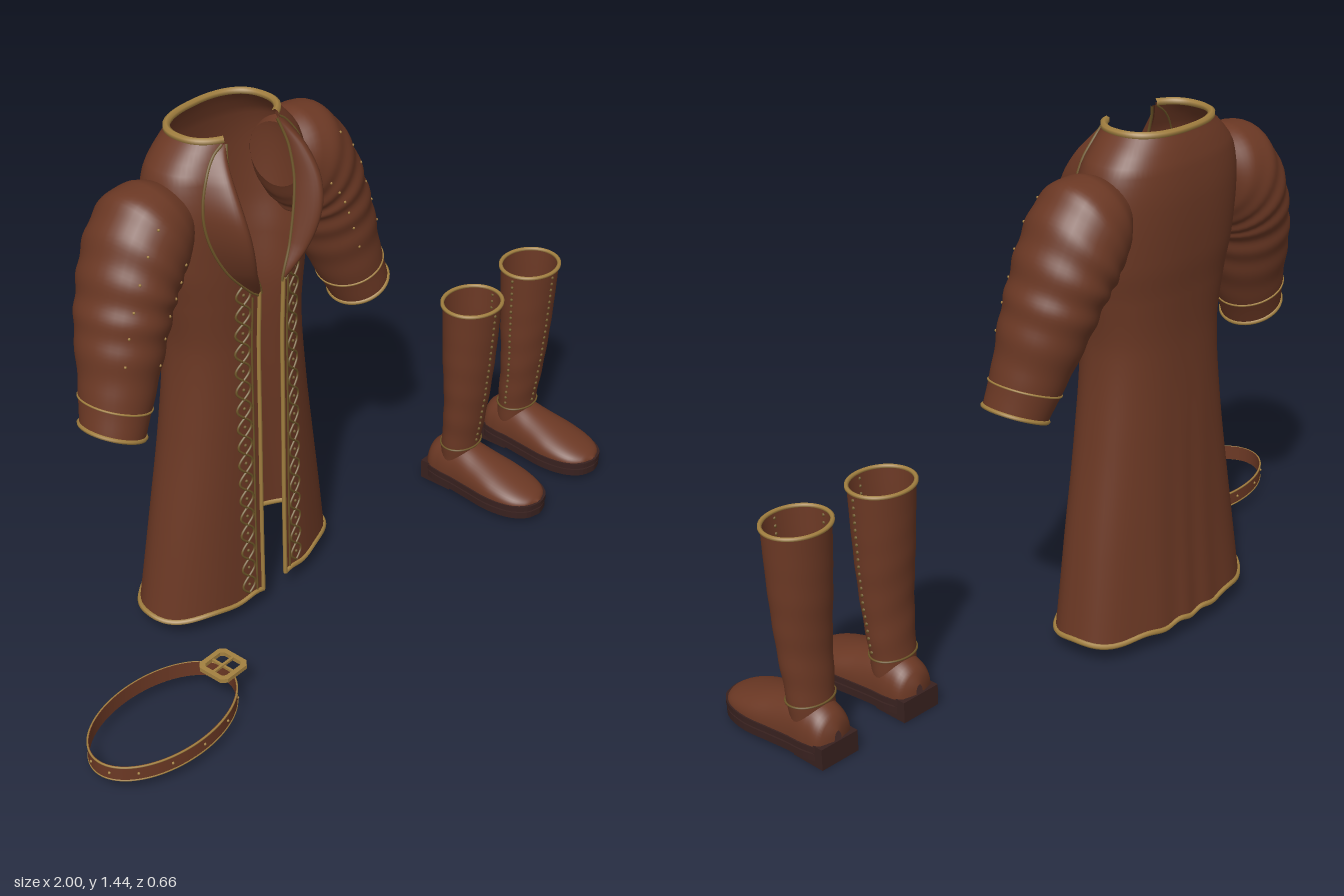
import * as THREE from 'three';
import { ParametricGeometry } from 'three/addons/geometries/ParametricGeometry.js';

const mat = (name, color, side = THREE.FrontSide) => {
  const m = new THREE.MeshStandardMaterial({ color, side });
  m.name = name;
  return m;
};
const V = (x, y, z) => new THREE.Vector3(x, y, z);

// Smooth interpolation of table rows by their first column
function at(rows, k) {
  const n = rows.length - 1;
  let i = 0;
  while (i < n - 1 && k > rows[i + 1][0]) i++;
  const a = rows[i], b = rows[i + 1], h = b[0] - a[0], t = (k - a[0]) / h;
  const p = rows[Math.max(i - 1, 0)], q = rows[Math.min(i + 2, n)];
  return a.map((_, c) => {
    const m0 = (b[c] - p[c]) / (b[0] - p[0]) * h, m1 = (q[c] - a[c]) / (q[0] - a[0]) * h;
    const t2 = t * t, t3 = t2 * t;
    return (2 * t3 - 3 * t2 + 1) * a[c] + (t3 - 2 * t2 + t) * m0 + (3 * t2 - 2 * t3) * b[c] + (t3 - t2) * m1;
  });
}

// y, half width, front z, back z, half opening
const COAT = [
  [0.06, 0.325, -0.018, -0.32, 0.046], [0.3, 0.288, -0.02, -0.303, 0.046], [0.6, 0.238, -0.02, -0.288, 0.046],
  [0.85, 0.212, -0.02, -0.282, 0.046], [1.0, 0.228, -0.015, -0.292, 0.046], [1.1, 0.245, -0.015, -0.304, 0.08],
  [1.25, 0.252, -0.022, -0.31, 0.112], [1.34, 0.236, -0.04, -0.302, 0.116], [1.39, 0.198, -0.055, -0.288, 0.108],
  [1.43, 0.155, -0.065, -0.272, 0.095],
];
// step, outer x, outer y, inner x, inner y, centre z, half depth
const SLEEVE = [
  [0, 0.21, 1.33, 0.19, 1.16, -0.17, 0.09], [0.08, 0.28, 1.353, 0.205, 1.12, -0.172, 0.118],
  [0.2, 0.36, 1.333, 0.225, 1.09, -0.172, 0.133], [0.36, 0.43, 1.24, 0.245, 1.06, -0.17, 0.136],
  [0.52, 0.475, 1.13, 0.265, 1.03, -0.163, 0.13], [0.7, 0.51, 1.02, 0.3, 0.945, -0.152, 0.118],
  [0.85, 0.53, 0.91, 0.345, 0.845, -0.137, 0.1], [1, 0.555, 0.8, 0.4, 0.735, -0.12, 0.085],
];
// y, half width, half depth, centre z
const SHAFT = [
  [0.09, 0.062, 0.05, 0.035], [0.16, 0.067, 0.052, 0.04], [0.3, 0.077, 0.059, 0.052],
  [0.45, 0.086, 0.071, 0.055], [0.63, 0.092, 0.081, 0.057],
];
// z, half width, top y
const FOOT = [
  [-0.055, 0.012, 0.085], [-0.045, 0.05, 0.12], [0, 0.066, 0.148], [0.06, 0.07, 0.152], [0.12, 0.077, 0.136],
  [0.2, 0.085, 0.113], [0.27, 0.074, 0.09], [0.31, 0.045, 0.072], [0.325, 0.008, 0.06],
];
const N = 2.4;

function coatEdge(u, y, off = 0) {
  const [, w, zf, zb, g] = at(COAT, y), rz = (zf - zb) / 2, zc = (zf + zb) / 2;
  const a0 = Math.atan2(g, rz * Math.pow(1 - Math.pow(g / w, N), 1 / N));
  const a = a0 + u * (Math.PI * 2 - 2 * a0), s = Math.sin(a), c = Math.cos(a);
  const folds = 1 + 0.014 * Math.sin(11 * a) * Math.sin(u * Math.PI) * Math.max(0, 1 - y / 0.8);
  const r = Math.pow(Math.pow(Math.abs(s / w), N) + Math.pow(Math.abs(c / rz), N), -1 / N) * folds + off;
  return V(r * s, y, zc + r * c);
}
function coatFront(x, y, off = 0) {
  const [, w, zf, zb] = at(COAT, y), rz = (zf - zb) / 2;
  return V(x, y, (zf + zb) / 2 + rz * Math.pow(Math.max(0, 1 - Math.pow(Math.abs(x) / w, N)), 1 / N) + off);
}
function sleevePoint(u, v, off = 0) {
  const [, ox, oy, ix, iy, zc, rz] = at(SLEEVE, v), a = u * Math.PI * 2;
  const k = 1 + off + 0.022 * Math.sin(v * 44 + Math.sin(a)) * Math.sin(v * Math.PI);
  const c = Math.cos(a) * k / 2;
  return V((ox + ix) / 2 + (ox - ix) * c, (oy + iy) / 2 + (oy - iy) * c, zc + rz * k * Math.sin(a));
}
function shaftPoint(u, y, off = 0) {
  const [, rx, rz, zc] = at(SHAFT, y), a = u * Math.PI * 2;
  const k = 1 + off + 0.02 * Math.sin(y * 62 + 1.5 * Math.sin(a)) * Math.max(0, 1 - y / 0.6);
  return V(rx * k * Math.sin(a), y, zc + rz * k * Math.cos(a));
}

export function createModel() {
  const leather = mat('brown leather', 0x6b3824, THREE.DoubleSide);
  const gold = mat('gold trim', 0xa38040);
  const thread = mat('olive thread', 0x6e5628);
  const sole = mat('dark sole', 0x38211f);
  const model = new THREE.Group();

  const add = (parent, name, geo, m) => {
    const mesh = new THREE.Mesh(geo, m);
    mesh.name = name;
    parent.add(mesh);
    return mesh;
  };
  const group = (parent, name) => {
    const g = new THREE.Group();
    g.name = name;
    parent.add(g);
    return g;
  };
  const surface = (parent, name, f, nu, nv, m) =>
    add(parent, name, new ParametricGeometry((u, v, t) => t.copy(f(u, v)), nu, nv), m);
  const tube = (parent, name, f, n, r, m, closed = false) => {
    const pts = Array.from({ length: n + (closed ? 0 : 1) }, (_, i) => f(i / n));
    return add(parent, name, new THREE.TubeGeometry(new THREE.CatmullRomCurve3(pts, closed), n * 2, r, 6, closed), m);
  };
  const dots = (parent, name, f, n, r, m) => {
    for (let i = 0; i < n; i++) add(parent, name, new THREE.SphereGeometry(r, 6, 4), m).position.copy(f((i + 0.5) / n));
  };

  // Coat body with collar and hem trim
  const coat = group(model, 'coat');
  coat.position.x = -0.155;
  surface(coat, 'coatBody', (u, v) => coatEdge(u, 0.06 + v * 1.37), 80, 60, leather);
  tube(coat, 'collarTrim', t => coatEdge(t, 1.43), 40, 0.01, gold);
  tube(coat, 'hemTrim', t => coatEdge(t, 0.06).add(V(0, 0.004 * Math.sin(t * 60), 0)), 70, 0.008, gold);

  // One half of the coat: sleeve, lapel and front trim
  const half = group(coat, 'leftHalf');
  surface(half, 'sleeve', (u, v) => sleevePoint(u, v), 36, 60, leather);
  tube(half, 'cuffTrim', t => sleevePoint(t, 1), 28, 0.006, gold, true);
  tube(half, 'cuffLine', t => sleevePoint(t, 0.91, 0.005), 28, 0.003, gold, true);
  for (const u of [0.14, 0.3])
    dots(half, 'sleeveStud', t => sleevePoint(u, 0.15 + t * 0.65), 6, 0.004, gold);

  const lapelPoint = (u, v) => {
    const y = 1.0 + v * 0.42, s = Math.sin(Math.PI * v), g = at(COAT, y)[4];
    const x = g - 0.006 + 0.078 * Math.pow(Math.max(s, 0), 0.7) * u + 0.012 * u;
    return coatFront(x, y, 0.003 + Math.sin(Math.PI * Math.pow(u, 0.85)) * 0.07 * Math.max(s, 0));
  };
  surface(half, 'lapel', lapelPoint, 14, 30, leather);
  tube(half, 'lapelOuterStitch', t => lapelPoint(1, t), 24, 0.004, thread);
  tube(half, 'lapelInnerStitch', t => lapelPoint(0, t), 24, 0.004, thread);
  tube(half, 'openingTrim', t => coatFront(0.046, 0.06 + t * 0.95, 0.002), 24, 0.006, gold);
  tube(half, 'frontLine', t => coatFront(0.068, 0.07 + t * 0.93, 0.001), 24, 0.003, thread);

  // Interlaced scroll embroidery down the front
  for (const s of [1, -1])
    tube(half, 'embroidery', t => coatFront(0.097 + s * 0.022 * Math.sin(t * Math.PI * 17), 0.075 + t * 0.97, 0.001), 136, 0.0035, thread);
  dots(half, 'embroideryKnot', t => coatFront(0.097, 0.075 + t * 0.97, 0.001), 17, 0.005, thread);
  const other = half.clone();
  other.name = 'rightHalf';
  other.scale.x = -1;
  coat.add(other);

  // Sole outline, widened by e
  const outline = e => {
    const pts = FOOT.map(([z, w]) => new THREE.Vector2(w + e, z + (z > 0.3 ? e : 0)));
    const back = pts.map(p => new THREE.Vector2(-p.x, p.y)).reverse();
    return new THREE.Shape(new THREE.SplineCurve([...pts, ...back, pts[0]]).getPoints(60));
  };
  const slab = (parent, name, e, top, depth) => {
    const geo = new THREE.ExtrudeGeometry(outline(e), { depth, bevelEnabled: false });
    add(parent, name, geo.rotateX(Math.PI / 2), sole).position.y = top;
  };

  // Boots, mirrored so the side stitching faces inward
  const boot = group(model, 'rightBoot');
  boot.position.x = 0.62;
  surface(boot, 'shaft', (u, v) => shaftPoint(u, 0.09 + v * 0.54), 32, 50, leather);
  surface(boot, 'foot', (u, v) => {
    const [z, w, top] = at(FOOT, -0.055 + v * 0.38), a = u * Math.PI;
    return V(w * Math.cos(a), 0.05 + (top - 0.05) * Math.pow(Math.max(Math.sin(a), 0), 0.8), z);
  }, 24, 40, leather);
  tube(boot, 'shaftRim', t => shaftPoint(t, 0.628), 32, 0.006, gold, true);
  tube(boot, 'ankleSeam', t => shaftPoint(t, 0.15, 0.03), 28, 0.003, thread, true);
  for (const u of [0, 0.24])
    dots(boot, 'shaftStitch', t => shaftPoint(u, 0.16 + t * 0.46, 0.01), 22, 0.005, thread);
  slab(boot, 'welt', 0.004, 0.057, 0.016);
  slab(boot, 'soleGroove', -0.002, 0.041, 0.006);
  slab(boot, 'sole', 0.003, 0.036, 0.02);
  add(boot, 'heelBlock', new THREE.BoxGeometry(0.12, 0.06, 0.06), sole).position.set(0, 0.03, -0.03);
  add(boot, 'heelPlate', new THREE.BoxGeometry(0.12, 0.02, 0.05), sole).position.set(0, 0.01, 0.02);
  const boot2 = boot.clone();
  boot2.name = 'leftBoot';
  boot2.scale.x = -1;
  boot2.position.x = 0.9;
  model.add(boot2);

  // Belt loop with gold edging
  const belt = group(model, 'belt');
  belt.position.set(-0.765, 0, 0.143);
  const loop = (e = 0) => new THREE.Path().absellipse(0, 0, 0.232 - e, 0.141 - e, 0, Math.PI * 2);
  const band = new THREE.Shape(loop().getPoints(64));
  band.holes.push(new THREE.Path(loop(0.004).getPoints(64)));
  add(belt, 'strap', new THREE.ExtrudeGeometry(band, { depth: 0.044, bevelEnabled: false }).rotateX(-Math.PI / 2), leather).position.y = 0.042;
  for (const y of [0.043, 0.084])
    tube(belt, 'strapEdge', t => V(0.231 * Math.cos(t * Math.PI * 2), y, 0.14 * Math.sin(t * Math.PI * 2)), 48, 0.003, gold, true);
  dots(belt, 'strapStud', t => V(0.233 * Math.cos(t * Math.PI * 2), 0.064, 0.142 * Math.sin(t * Math.PI * 2)), 14, 0.004, gold);

  // Flat buckle with chamfered corners and crossed bars
  const frame = (r, c) => [[r, c], [c, r], [-c, r], [-r, c], [-r, -c], [-c, -r], [c, -r], [r, -c]].map(p => new THREE.Vector2(...p));
  const ring = new THREE.Shape(frame(0.05, 0.036));
  ring.holes.push(new THREE.Path(frame(0.036, 0.028)));
  const buckle = group(belt, 'buckle');
  buckle.position.set(0.225, 0.088, 0);
  add(buckle, 'buckleFrame', new THREE.ExtrudeGeometry(ring, { depth: 0.012, bevelEnabled: false }).rotateX(-Math.PI / 2), gold);
  add(buckle, 'buckleProng', new THREE.BoxGeometry(0.09, 0.007, 0.007), gold).position.y = 0.008;
  add(buckle, 'buckleBar', new THREE.BoxGeometry(0.007, 0.007, 0.09), gold).position.y = 0.005;

  return model;
}
